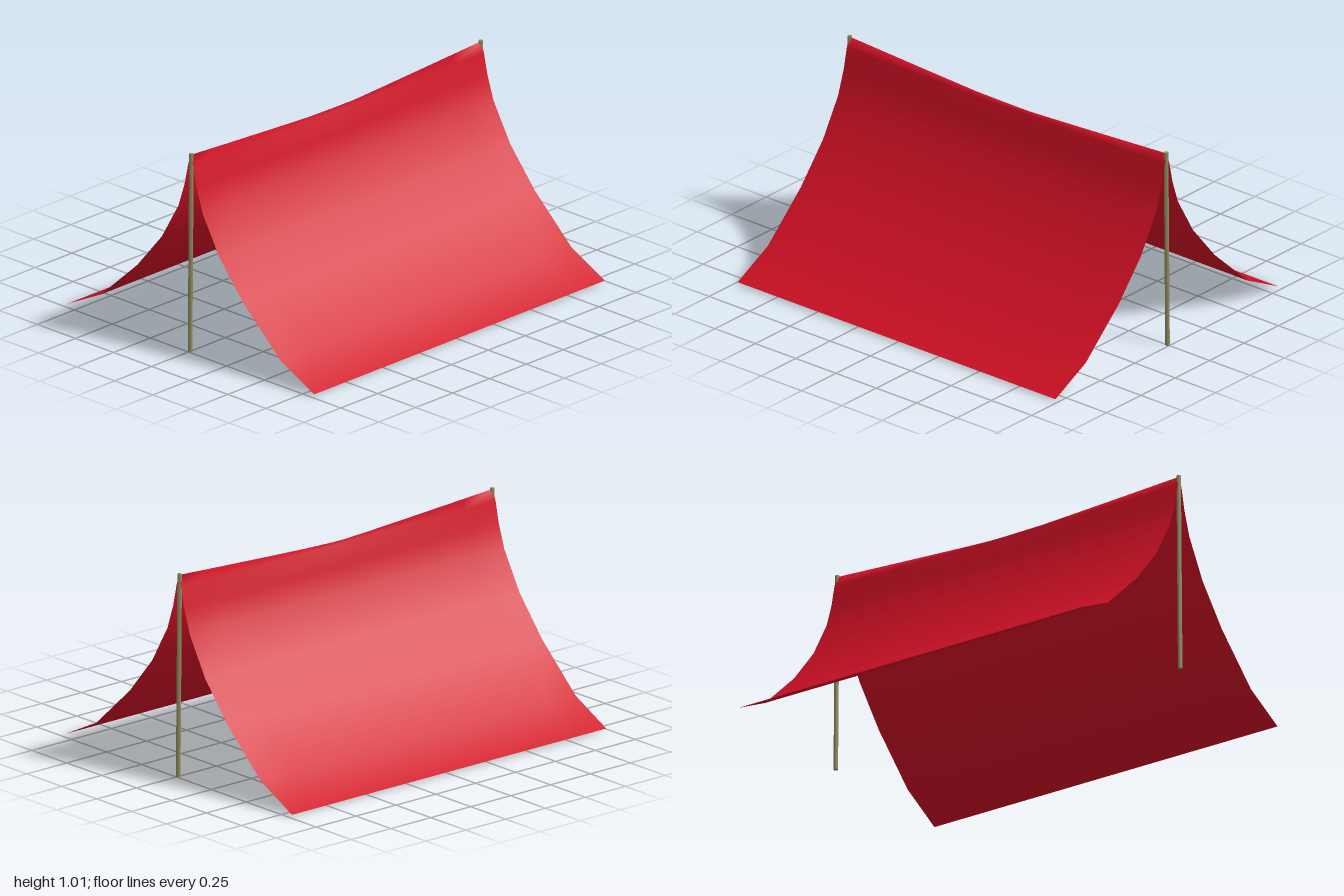
import * as THREE from 'three';

const HALF = 0.985;   // half length of the sheet
const SAG = 0.05;     // dip of the ridge at mid span
const COLS = 10;

// one slope of the cloth, from the ridge down to the hem: [z, y]
const SLOPE = [[0.017, 0.945], [0.04, 0.84], [0.08, 0.72], [0.19, 0.53], [0.35, 0.34], [0.59, 0.12], [0.81, 0.01]];

function clothGeometry() {
  const profile = [...SLOPE].reverse().concat([[0, 1]], SLOPE.map(([z, y]) => [-z, y]));
  const pos = [], index = [];
  profile.forEach(([z, y]) => {
    for (let i = 0; i <= COLS; i++) {
      const t = (i / COLS) * 2 - 1;
      // only the ridge line sags between the poles
      const dip = z === 0 ? SAG * (1 - Math.abs(t) ** 1.1) : 0;
      pos.push(t * HALF, y - dip, z);
    }
  });
  for (let r = 0; r < profile.length - 1; r++) {
    for (let i = 0; i < COLS; i++) {
      const a = r * (COLS + 1) + i, b = a + COLS + 1;
      index.push(a, a + 1, b + 1, a, b + 1, b);
    }
  }
  const geo = new THREE.BufferGeometry();
  geo.setAttribute('position', new THREE.Float32BufferAttribute(pos, 3));
  geo.setIndex(index);
  geo.computeVertexNormals();
  return geo;
}

export function createModel() {
  const group = new THREE.Group();
  group.name = 'ridgeTent';

  // draped sheet, both slopes in one piece
  const cloth = new THREE.Mesh(
    clothGeometry(),
    new THREE.MeshStandardMaterial({ color: 0xd01024, side: THREE.DoubleSide })
  );
  cloth.name = 'cloth';
  group.add(cloth);

  // end poles, leaning slightly inward at the top
  const wood = new THREE.MeshStandardMaterial({ color: 0x8f8a5c });
  for (const side of [1, -1]) {
    const geo = new THREE.CylinderGeometry(0.011, 0.011, 1.005, 8);
    geo.translate(0, 1.005 / 2, 0);
    const pole = new THREE.Mesh(geo, wood);
    pole.name = side > 0 ? 'leftPole' : 'rightPole';
    pole.position.x = side * 0.989;
    pole.rotation.z = side * 0.009;
    group.add(pole);
  }
  return group;
}
